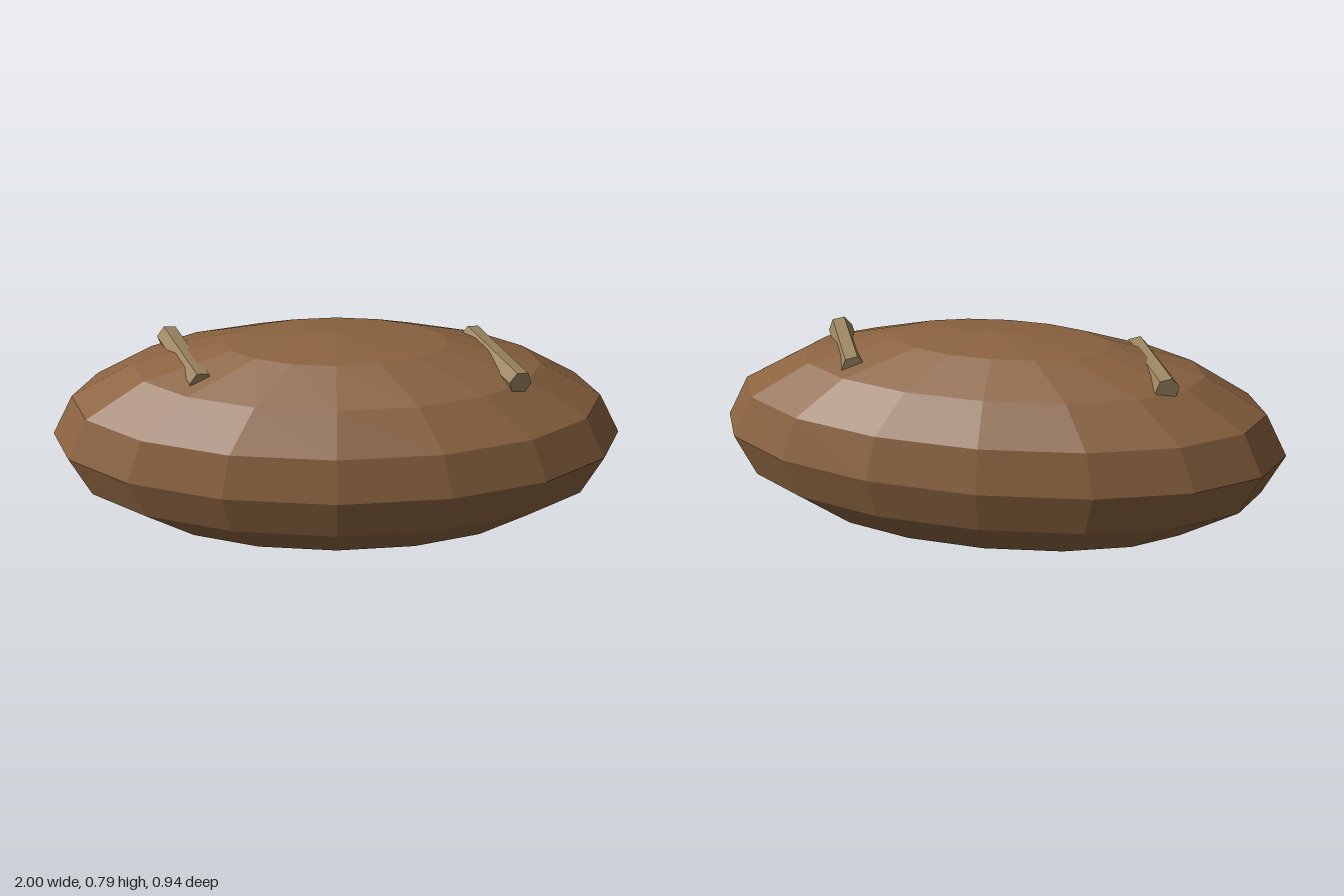
import * as THREE from 'three';

export function createModel() {
  const model = new THREE.Group();
  const crustMat = new THREE.MeshStandardMaterial({ color: 0x8b6340, flatShading: true });
  const stickMat = new THREE.MeshStandardMaterial({ color: 0x9c8662, flatShading: true });

  // Faceted oval body
  const body = new THREE.Mesh(new THREE.SphereGeometry(1, 16, 8), crustMat);
  body.name = 'body';
  body.scale.set(1, 0.393, 0.47);
  body.position.y = 0.395;
  model.add(body);

  // Six-sided sticks lying slanted across the top, half sunk into the body
  const stick = new THREE.CylinderGeometry(0.0425, 0.0425, 0.377, 6);
  stick.rotateX(Math.PI / 2);
  stick.rotateZ(THREE.MathUtils.degToRad(20));
  stick.rotateY(Math.atan2(0.14, 0.35));
  for (const [name, x] of [['leftStick', 0.548], ['rightStick', -0.523]]) {
    const mesh = new THREE.Mesh(stick, stickMat);
    mesh.name = name;
    mesh.position.set(x, 0.689, 0);
    model.add(mesh);
  }
  return model;
}
